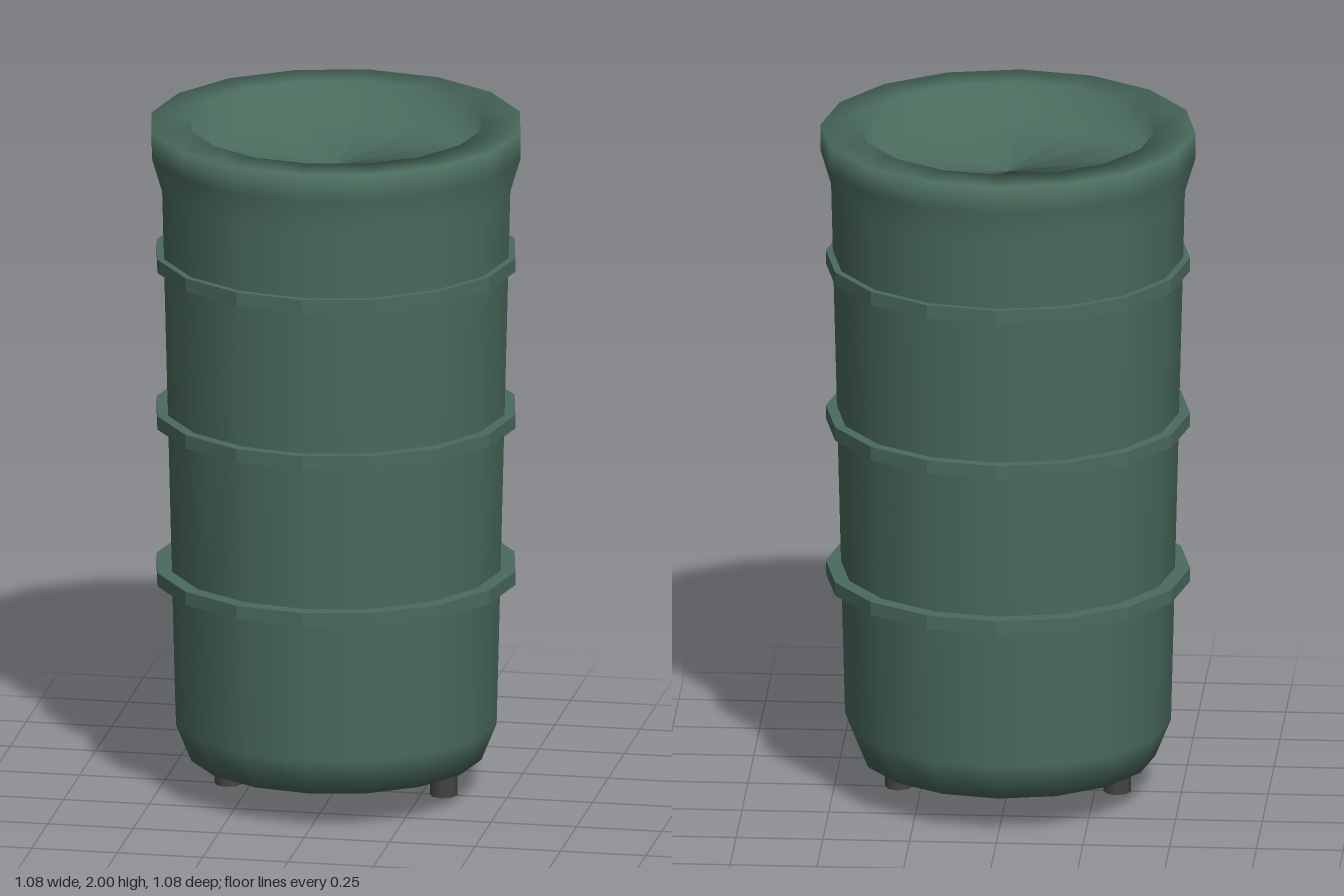
import * as THREE from 'three';

const SIDES = 16;

export function createModel() {
  const model = new THREE.Group();
  const green = new THREE.MeshStandardMaterial({ color: 0x4a6b5d });
  const greenFlat = new THREE.MeshStandardMaterial({ color: 0x4a6b5d, flatShading: true });
  const grey = new THREE.MeshStandardMaterial({ color: 0x444444 });

  const add = (name, geometry, material, x, y) => {
    const mesh = new THREE.Mesh(geometry, material);
    mesh.name = name;
    mesh.position.set(x, y, 0);
    model.add(mesh);
  };

  // Tapered drum: bevelled foot, flared rim and a shallow recessed lid.
  // The profile closes along the axis, which tilts the normals at the centres.
  const profile = [
    [0, 1], [0, 0.11], [0.425, 0.11], [0.47, 0.22], [0.51, 1.82], [0.54, 1.92],
    [0.54, 2], [0.425, 2], [0.425, 1.87], [0, 1.87], [0, 1],
  ].map(([r, y]) => new THREE.Vector2(r, y));
  add('drum', new THREE.LatheGeometry(profile, SIDES), green, 0, 0);

  // Three hoops around the drum
  for (const y of [0.66, 1.13, 1.6]) {
    add('hoop', new THREE.CylinderGeometry(0.525, 0.525, 0.04, SIDES), greenFlat, 0, y);
  }

  // Two short pegs underneath
  for (const side of [-1, 1]) {
    add(side > 0 ? 'leftPeg' : 'rightPeg',
      new THREE.CylinderGeometry(0.04, 0.04, 0.12, 8), grey, side * 0.315, 0.06);
  }

  return model;
}
